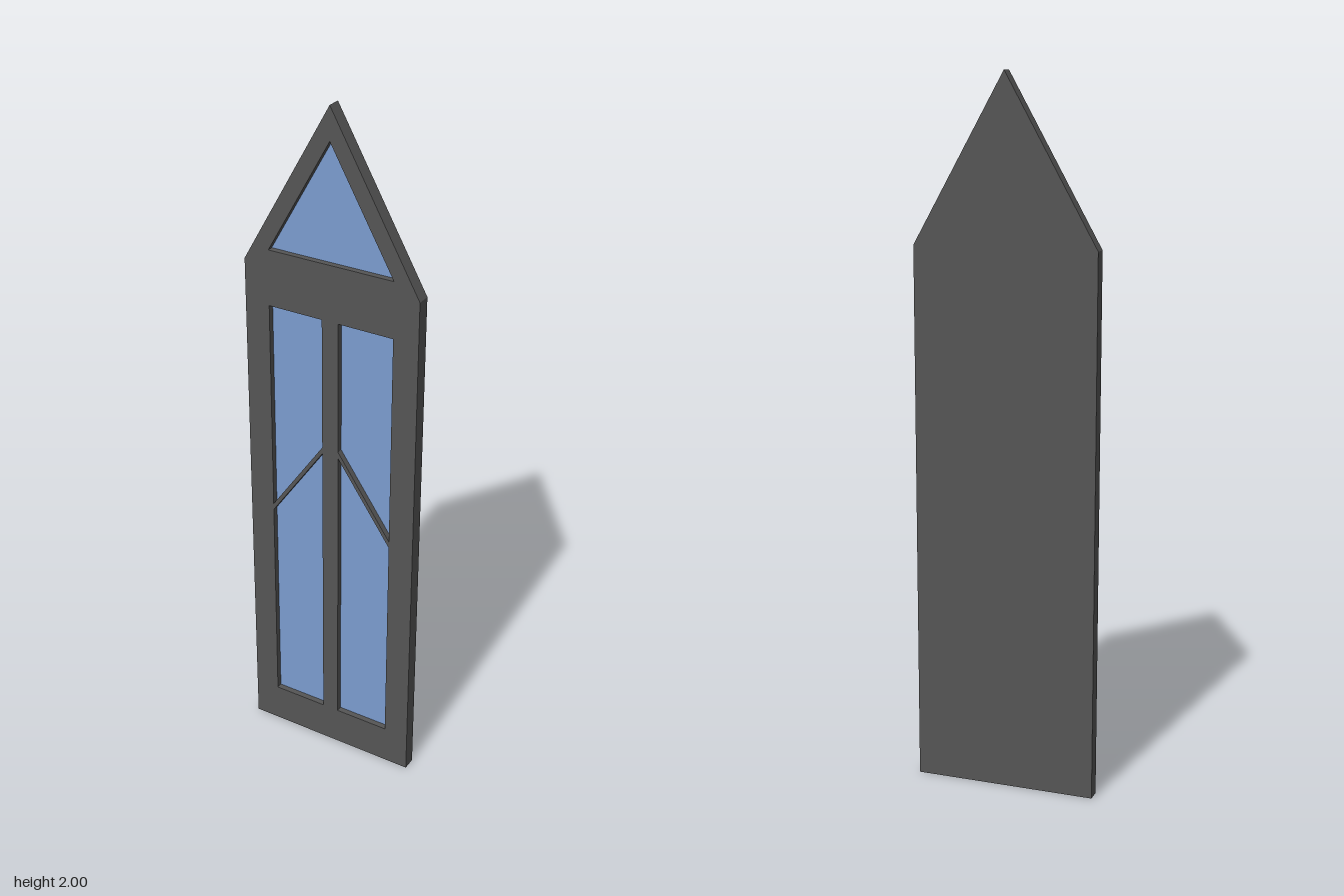
import * as THREE from 'three';

const frameMaterial = new THREE.MeshStandardMaterial({ color: 0x555555 });
const glassMaterial = new THREE.MeshStandardMaterial({ color: 0x7b9ccf });

const polygon = (points) => new THREE.Shape(points.map(([x, y]) => new THREE.Vector2(x, y)));
const mirror = (points) => points.map(([x, y]) => [-x, y]).reverse();

// Pointed outline of the whole window
const outline = [[-0.262, 0], [0.262, 0], [0.262, 1.537], [0, 2], [-0.262, 1.537]];

// Openings: the gable triangle, and panes split by a sloping bar on each side
const gable = [[-0.187, 1.577], [0.187, 1.577], [0, 1.908]];
const lowerPane = [[0.025, 0.118], [0.188, 0.118], [0.188, 0.77], [0.025, 1.007]];
const upperPane = [[0.025, 1.027], [0.188, 0.79], [0.188, 1.416], [0.025, 1.416]];
const openings = {
  gableGlass: gable,
  lowerGlassLeft: lowerPane,
  upperGlassLeft: upperPane,
  lowerGlassRight: mirror(lowerPane),
  upperGlassRight: mirror(upperPane),
};

export function createModel() {
  const group = new THREE.Group();
  group.name = 'pointedWindow';

  const addPart = (name, shape, z, depth, material) => {
    const geometry = new THREE.ExtrudeGeometry(shape, { depth, bevelEnabled: false });
    const mesh = new THREE.Mesh(geometry, material);
    mesh.position.z = z;
    mesh.name = name;
    group.add(mesh);
  };

  // Solid back board
  addPart('backBoard', polygon(outline), -0.02, 0.02, frameMaterial);

  // Front frame with mullion, sloping bars and openings
  const frame = polygon(outline);
  frame.holes = Object.values(openings).map(polygon);
  addPart('frame', frame, 0, 0.019, frameMaterial);

  // Recessed glass in each opening
  for (const [name, points] of Object.entries(openings)) {
    addPart(name, polygon(points), 0, 0.002, glassMaterial);
  }

  return group;
}
